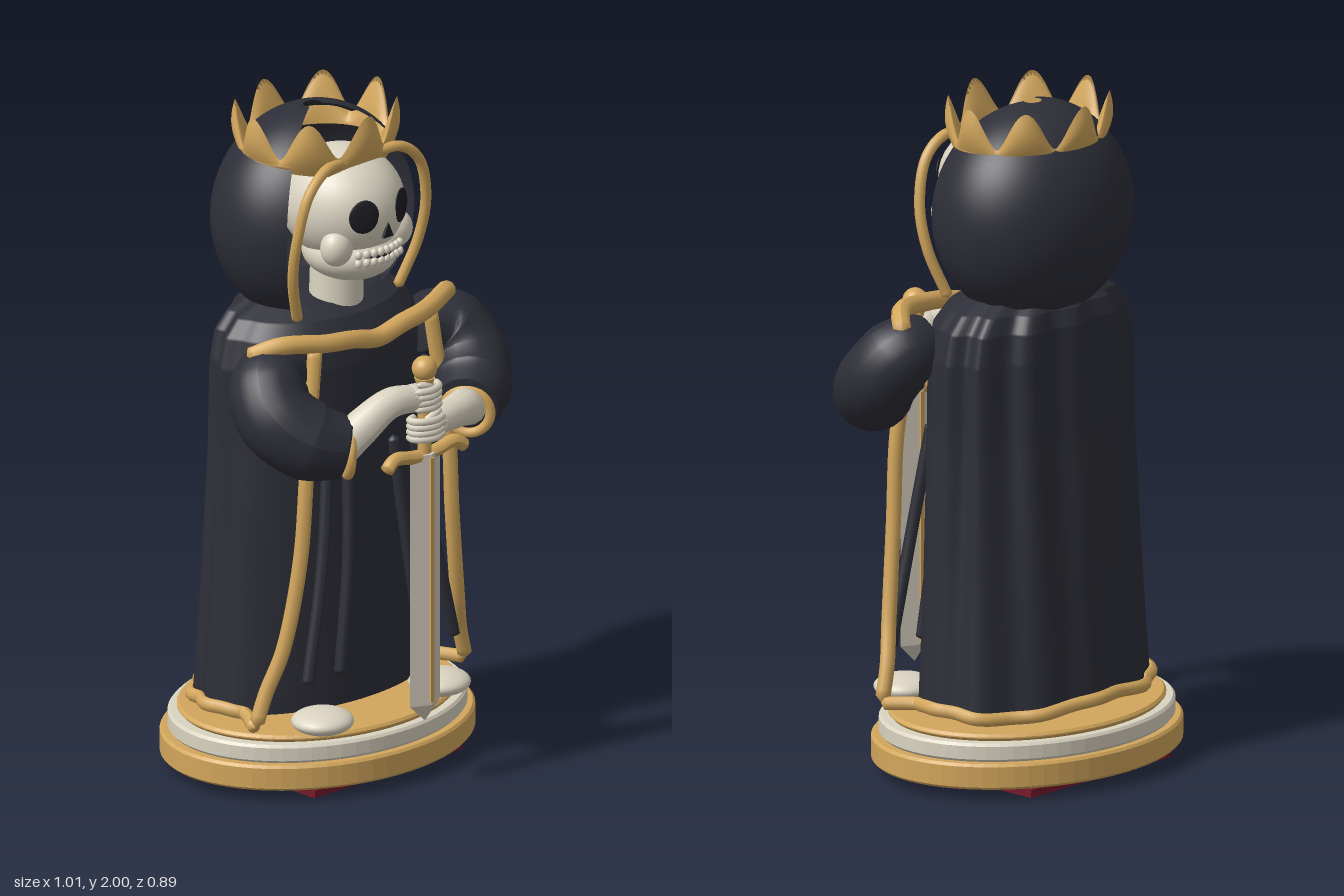
import * as THREE from 'three';
import { ParametricGeometry } from 'three/addons/geometries/ParametricGeometry.js';

const mat = (name, color, side = THREE.FrontSide) => {
  const m = new THREE.MeshStandardMaterial({ color, side });
  m.name = name;
  return m;
};
const V = (p) => new THREE.Vector3(...p);
const mirrorX = (pts) => pts.map(([x, y, z]) => [-x, y, z]);
const faceted = (geo) => {
  const g = geo.toNonIndexed();
  g.computeVertexNormals();
  return g;
};

export function createModel() {
  const cloth = mat('darkCloth', 0x2d2e37, THREE.DoubleSide);
  const gold = mat('gold', 0xd2a65c, THREE.DoubleSide);
  const bone = mat('bone', 0xdad3c1);
  const steel = mat('blade', 0xd2cabb);
  const black = mat('hollow', 0x1e1e25);
  const red = mat('redPlate', 0x76192a);

  const model = new THREE.Group();
  model.name = 'skeletonKing';
  const add = (name, geo, material, pos = [0, 0, 0], scale = [1, 1, 1], rot = [0, 0, 0]) => {
    const m = new THREE.Mesh(geo, material);
    m.name = name;
    m.position.set(...pos);
    m.scale.set(...scale);
    m.rotation.set(...rot);
    model.add(m);
    return m;
  };
  const ball = (name, material, pos, scale, rot) =>
    add(name, new THREE.SphereGeometry(1, 32, 20), material, pos, scale, rot);

  // Tube whose radius follows a list of values, closed at both ends
  const taperTube = (pts, radii, segs = 64, sides = 18) => {
    const curve = new THREE.CatmullRomCurve3(pts.map(V));
    const geo = new THREE.TubeGeometry(curve, segs, 1, sides);
    const pos = geo.attributes.position, p = new THREE.Vector3();
    for (let i = 0; i < pos.count; i++) {
      const ring = Math.floor(i / (sides + 1)), u = ring / segs;
      const c = curve.getPointAt(u), f = u * (radii.length - 1), k = Math.min(Math.floor(f), radii.length - 2);
      const r = ring === 0 || ring === segs ? 0.001 : THREE.MathUtils.lerp(radii[k], radii[k + 1], f - k);
      p.fromBufferAttribute(pos, i).sub(c).multiplyScalar(r).add(c);
      pos.setXYZ(i, p.x, p.y, p.z);
    }
    geo.computeVertexNormals();
    return geo;
  };
  const cord = (name, pts, r, material = gold, segs = 60) =>
    add(name, taperTube(pts, [r, r], segs, 10), material);

  // Oval stepped base with a square plate under it
  const slab = (name, r, y0, y1, material) => {
    const b = 0.008;
    const prof = [[0, y0], [r - b, y0], [r, y0 + b], [r, y1 - b], [r - b, y1], [0, y1]];
    const geo = new THREE.LatheGeometry(prof.map((p) => new THREE.Vector2(...p)), 64);
    add(name, faceted(geo), material, [0, 0, -0.048], [1, 1, 0.785]);
  };
  slab('baseLower', 0.505, 0.035, 0.112, gold);
  slab('baseMiddle', 0.48, 0.112, 0.167, bone);
  slab('baseTop', 0.45, 0.167, 0.187, gold);
  add('bottomPlate', new THREE.BoxGeometry(0.59, 0.024, 0.585), red, [0, 0.012, -0.048]);

  // Robe: oval rings [y, half width, depth back, depth front], folded round the back
  const rings = [[0.22, 0.405, 0.265, 0.235], [0.6, 0.38, 0.235, 0.235], [1.0, 0.36, 0.2, 0.24],
    [1.25, 0.355, 0.19, 0.24], [1.34, 0.335, 0.185, 0.23], [1.39, 0.29, 0.17, 0.2], [1.42, 0.22, 0.14, 0.15],
    [1.43, 0.08, 0.08, 0.1], [1.43, 0.001, 0.001, 0.001]];
  const robePoint = (a, v, out) => {
    const f = v * (rings.length - 1), k = Math.min(Math.floor(f), rings.length - 2);
    const [y, rx, rb, rf] = rings[k].map((n, i) => THREE.MathUtils.lerp(n, rings[k + 1][i], f - k));
    const c = Math.cos(a), back = THREE.MathUtils.smoothstep(-c, -0.35, 0.25);
    const deep = THREE.MathUtils.lerp(0.025, 0.055, THREE.MathUtils.smoothstep(y, 0.3, 1.3));
    const fold = 1 + back * (deep * Math.cos((a - Math.PI) * 12) + 0.012 * Math.sin(a * 7 + y));
    return out.set(rx * Math.sin(a) * fold, y, -0.065 + (c > 0 ? rf : rb) * c * fold);
  };
  add('robe', new ParametricGeometry((u, v, t) => robePoint(u * Math.PI * 2, v, t), 144, 64), cloth);

  // Gold hem round the back, meeting the front borders
  const hem = [[0.425, 0.22, 0.13]];
  for (let i = 0; i <= 40; i++) {
    const a = 1.15 + (i / 40) * (Math.PI * 2 - 2.3);
    const p = robePoint(a, 0, new THREE.Vector3());
    hem.push([p.x * 1.01, 0.228 + 0.01 * Math.cos(a * 4), p.z]);
  }
  hem.push([-0.425, 0.22, 0.13]);
  cord('hem', hem, 0.02, gold, 140);

  for (const s of [1, -1]) {
    const side = s > 0 ? 'left' : 'right';
    const m = (pts) => (s > 0 ? pts : mirrorX(pts));
    cord(side + 'RobeBorder', m([[0.23, 1.36, 0.18], [0.26, 1.15, 0.19], [0.285, 0.98, 0.2], [0.305, 0.72, 0.195],
      [0.35, 0.45, 0.17], [0.39, 0.32, 0.14], [0.422, 0.22, 0.13]]), 0.022);
    // Raised pleats down the front
    for (const [x0, x1] of [[0.09, 0.165], [0.17, 0.295]])
      cord(side + 'Pleat', m([[x0, 1.0, 0.17], [(x0 + x1) / 2 - 0.01, 0.68, 0.2], [x1, 0.34, 0.215]]), 0.018, cloth, 80);
    ball(side + 'Foot', bone, [s * 0.235, 0.217, 0.215], [0.092, 0.036, 0.09]);

    // Sleeve, cuff and forearm
    add(side + 'Sleeve', taperTube(m([[0.27, 1.28, 0.09], [0.355, 1.255, 0.115], [0.383, 1.18, 0.175], [0.33, 1.115, 0.25],
      [0.24, 1.085, 0.32]]), [0.085, 0.115, 0.118, 0.118, 0.09], 64, 22), cloth);
    add(side + 'Cuff', new THREE.TorusGeometry(0.068, 0.015, 10, 28), gold, [s * 0.24, 1.075, 0.325], [1, 1, 1], [0.1, -s * 0.95, 0]);
    const hy = s > 0 ? 1.11 : 1.205;
    add(side + 'Forearm', taperTube(m([[0.26, 1.08, 0.31], [0.2, (1.1 + hy) / 2, 0.35], [0.12, hy, 0.375], [0.04, hy, 0.39]]),
      [0.055, 0.054, 0.046, 0.04], 30, 14), bone);
    ball(side + 'Palm', bone, [s * 0.04, hy, 0.39], [0.055, 0.042, 0.04]);
    // Fingers wrapped round the grip
    for (let i = 0; i < 4; i++) {
      const y = hy - 0.028 + i * 0.018;
      cord(side + 'Finger', m([[0.06, y, 0.415], [0.01, y, 0.432], [-0.035, y, 0.418], [-0.05, y, 0.385], [-0.01, y, 0.37]]),
        0.011, bone, 14);
    }
    ball(side + 'Thumb', bone, [s * 0.015, hy + 0.037, 0.415], [0.035, 0.012, 0.014], [0, 0, s * 0.3]);
  }

  // Collar cord across the chest and shoulders
  const collar = [[0.4, 1.335, 0.07], [0.33, 1.372, 0.14], [0.2, 1.36, 0.19], [0.1, 1.35, 0.2]];
  cord('collar', [...mirrorX(collar), [0, 1.33, 0.2], ...collar.reverse()], 0.028);

  // Hood: hollow ball with an open wedge at the face
  const gap = 0.93;
  add('hood', new ParametricGeometry((u, v, t) => {
    const a = gap + u * (Math.PI * 2 - 2 * gap), e = Math.PI - v * (Math.PI - 0.09) - 0.001;
    t.set(0.32 * Math.sin(e) * Math.sin(a), 1.655 + 0.325 * Math.cos(e), -0.07 + 0.266 * Math.sin(e) * Math.cos(a));
  }, 64, 40), cloth);
  const hoodEdge = [[0.06, 1.865, 0.125], [0.15, 1.865, 0.14], [0.22, 1.81, 0.145], [0.258, 1.68, 0.135],
    [0.252, 1.55, 0.11], [0.2, 1.4, 0.075]];
  cord('leftHoodBorder', hoodEdge, 0.016);
  cord('rightHoodBorder', mirrorX(hoodEdge), 0.016);

  // Skull
  ball('cranium', bone, [0, 1.715, 0.055], [0.175, 0.17, 0.19]);
  ball('jaw', bone, [0, 1.575, 0.085], [0.135, 0.085, 0.145]);
  add('neck', new THREE.CylinderGeometry(0.075, 0.08, 0.16, 24), bone, [0, 1.47, 0.03]);
  for (const s of [1, -1]) {
    ball('cheek', bone, [s * 0.12, 1.625, 0.155], [0.05, 0.055, 0.045]);
    ball('eyeSocket', black, [s * 0.074, 1.725, 0.221], [0.046, 0.051, 0.008], [0, s * 0.42, 0]);
  }
  const nose = new THREE.Shape([[-0.02, -0.02], [0.02, -0.02], [0, 0.024]].map((p) => new THREE.Vector2(...p)));
  add('nose', new THREE.ExtrudeGeometry(nose, { depth: 0.009, bevelEnabled: false }), black, [0, 1.672, 0.238]);
  ball('mouth', black, [0, 1.592, 0.13], [0.098, 0.02, 0.102]);
  for (let i = 0; i < 8; i++) {
    const x = (i - 3.5) * 0.0235, z = 0.227 - 2.9 * x * x;
    for (const y of [1.605, 1.579])
      ball('tooth', bone, [x, y, z], [0.0115, 0.0135, 0.011], [0, x * 5, 0]);
  }

  // Crown: thick flared band with eight rounded points
  add('crown', new ParametricGeometry((u, v, t) => {
    const a = u * Math.PI * 2, outer = v < 0.5, h = outer ? v * 2 : 2 - v * 2;
    const front = Math.max(0, Math.cos(a)) ** 2, peak = (1 + Math.cos(a * 8)) / 2;
    const y0 = 1.85 - 0.025 * front, y = y0 + h * (1.885 + 0.115 * peak ** 0.8 - y0);
    const grow = (y - 1.83) * 0.12 + (outer ? 0.012 * Math.sin(h * Math.PI) * (0.5 + peak) : -0.026 * (1 - h * h));
    t.set((0.23 + grow) * Math.sin(a), y, -0.055 + (0.197 + grow) * Math.cos(a));
  }, 144, 20), gold);
  add('crownBand', new THREE.TorusGeometry(0.23, 0.012, 8, 64), gold, [0, 1.868, -0.055], [1, 0.87, 1], [Math.PI / 2, 0, 0]);

  // Sword held point down, with a diamond section
  add('blade', faceted(new THREE.CylinderGeometry(1, 1, 0.77, 4)), steel, [0, 0.645, 0.397], [0.06, 1, 0.029]);
  add('bladeTip', faceted(new THREE.CylinderGeometry(1, 0.001, 0.055, 4)), steel, [0, 0.2325, 0.397], [0.06, 1, 0.029]);
  for (const z of [0.369, 0.425])
    add('bladeRidge', new THREE.BoxGeometry(0.013, 0.75, 0.008), gold, [0, 0.645, z]);
  const guard = [[0.16, 1.01, 0.4], [0.12, 1.035, 0.395], [0.05, 1.025, 0.395]];
  cord('guard', [...mirrorX(guard), [0, 1.02, 0.395], ...guard.reverse()], 0.02);
  add('grip', new THREE.CylinderGeometry(0.02, 0.02, 0.24, 16), gold, [0, 1.14, 0.395]);
  add('pommelCollar', new THREE.CylinderGeometry(0.03, 0.024, 0.02, 20), gold, [0, 1.25, 0.395]);
  ball('pommel', gold, [0, 1.288, 0.395], [0.037, 0.037, 0.037]);

  return model;
}
